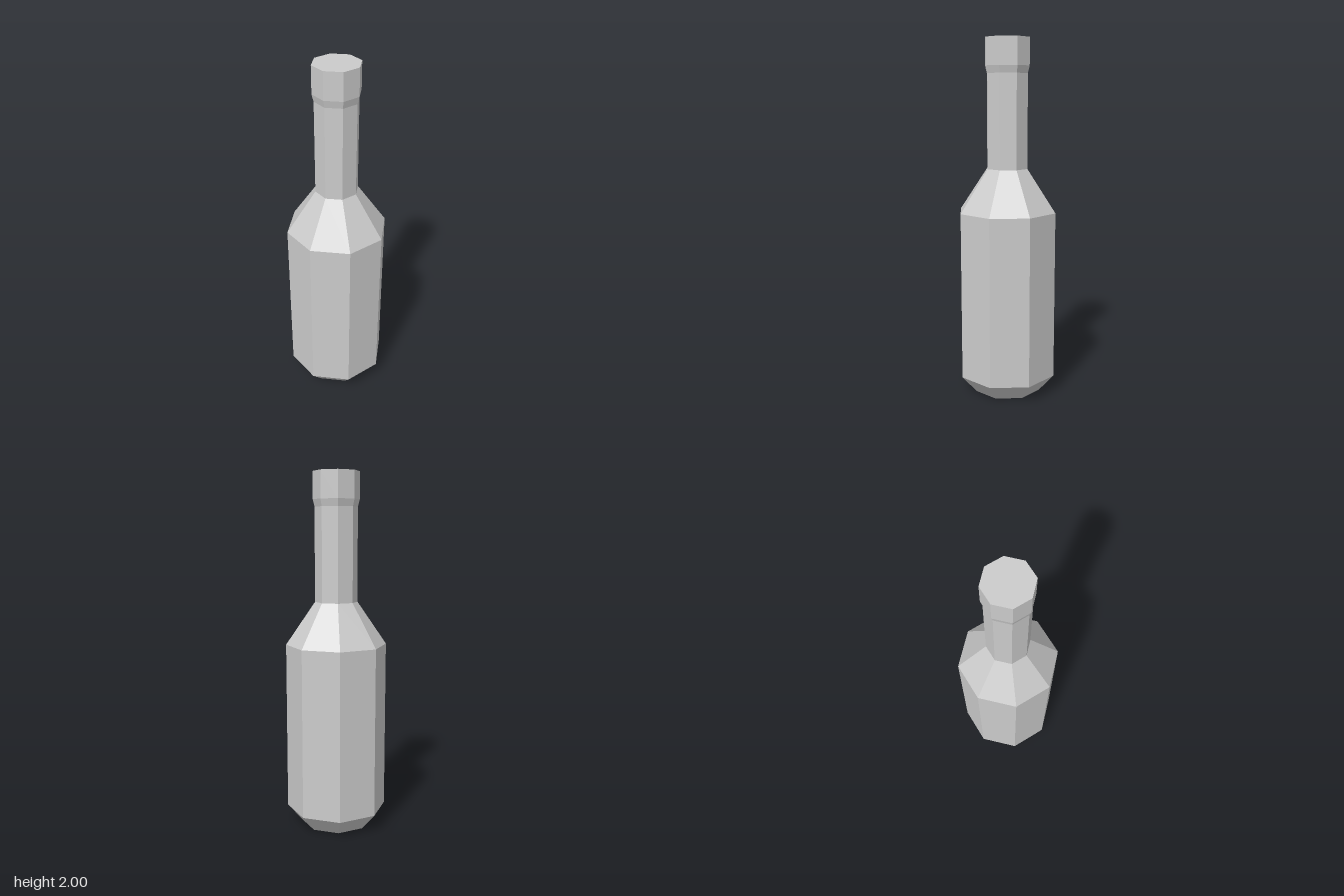
import * as THREE from 'three';

const SIDES = 8;

// Turned eight-sided part from [radius, height] pairs, listed bottom to top
function turned(name, profile, material) {
  const points = profile.map(([r, y]) => new THREE.Vector2(r, y));
  const mesh = new THREE.Mesh(new THREE.LatheGeometry(points, SIDES), material);
  mesh.name = name;
  return mesh;
}

export function createModel() {
  const group = new THREE.Group();
  group.name = 'bottle';
  const glass = new THREE.MeshStandardMaterial({ color: 0xcccccc, flatShading: true });

  // Closed base with a chamfered foot, straight wall and sloping shoulder
  group.add(turned('body', [[0, 0], [0.195, 0], [0.283, 0.1], [0.283, 1.05]], glass));
  group.add(turned('shoulder', [[0.283, 1.05], [0.119, 1.29]], glass));
  group.add(turned('neck', [[0.119, 1.29], [0.119, 1.81]], glass));
  // Flared lip with a closed top
  group.add(turned('lip', [[0.119, 1.81], [0.129, 1.85], [0.129, 2], [0, 2]], glass));

  return group;
}
